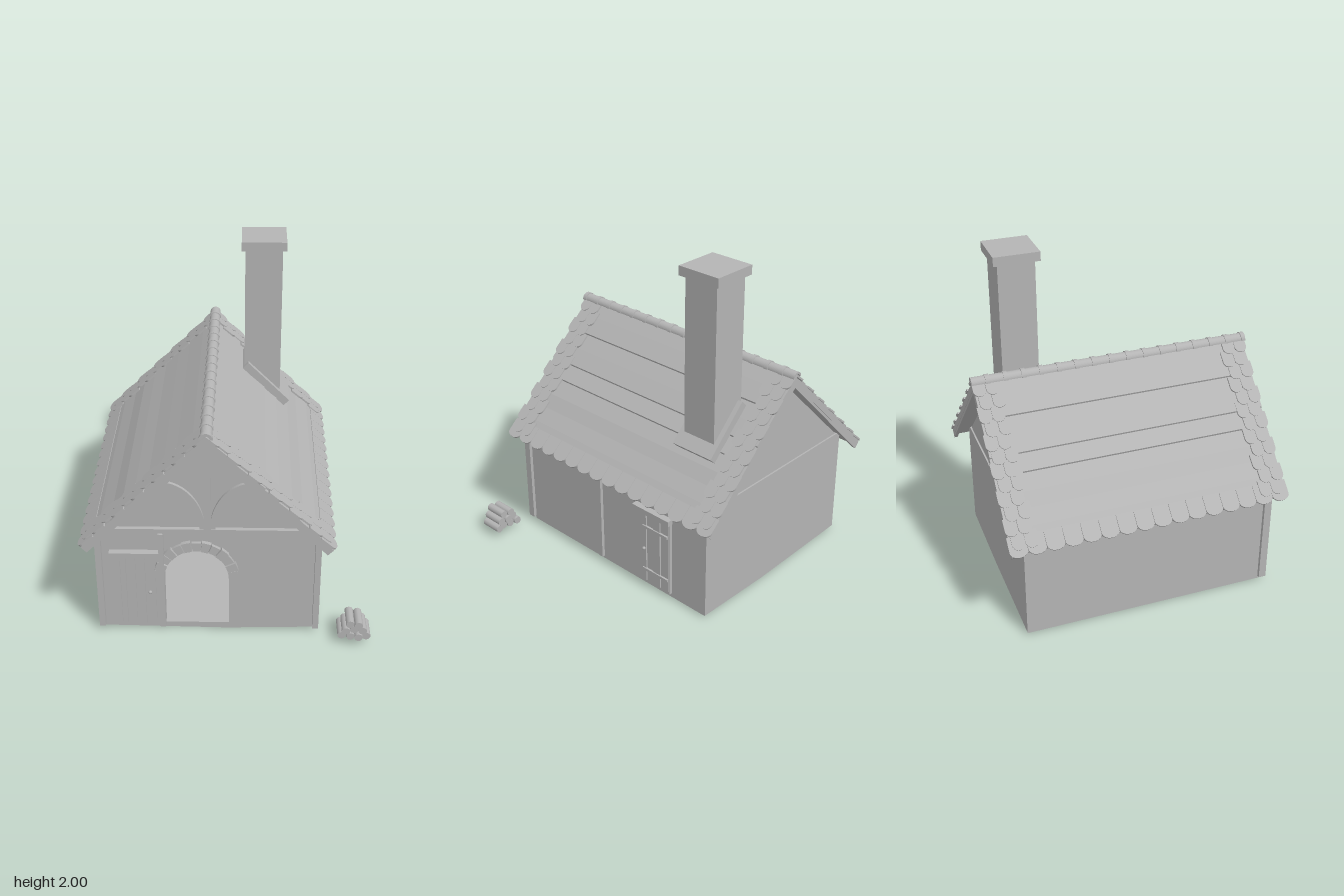
import * as THREE from 'three';

const stone = new THREE.MeshStandardMaterial({ color: 0xb4b4b4 });
stone.name = 'plain grey';

const RIDGE_X = -0.105, RIDGE_Y = 1.345, ROOF_Z = -0.025, HALF_Z = 0.84;

function add(parent, name, geo) {
  const m = new THREE.Mesh(geo, stone);
  m.name = name;
  parent.add(m);
  return m;
}

// Box given by its min and max on each axis
function box(parent, name, x0, x1, y0, y1, z0, z1) {
  const m = add(parent, name, new THREE.BoxGeometry(x1 - x0, y1 - y0, z1 - z0));
  m.position.set((x0 + x1) / 2, (y0 + y1) / 2, (z0 + z1) / 2);
  return m;
}

function poly(points) {
  return new THREE.Shape(points.map(([x, y]) => new THREE.Vector2(x, y)));
}

// Shape pushed out along z from z0 to z1
function slab(parent, name, shape, z0, z1) {
  const m = add(parent, name, new THREE.ExtrudeGeometry(shape, { depth: z1 - z0, bevelEnabled: false, curveSegments: 16 }));
  m.position.z = z0;
  return m;
}

// Curved band between two ellipses
function band(cx, cy, rx, ry, t, a0, a1) {
  const s = new THREE.Shape();
  s.absellipse(cx, cy, rx, ry, a0, a1, false, 0);
  s.absellipse(cx, cy, rx - t, ry - t, a1, a0, true, 0);
  return s;
}

// Roof tile with a round tail at s = 0, lying flat
function tileGeometry(w, len) {
  const s = new THREE.Shape();
  s.moveTo(-len, -w / 2);
  s.lineTo(-0.035, -w / 2);
  s.absellipse(-0.035, 0, 0.035, w / 2, -Math.PI / 2, Math.PI / 2, false, 0);
  s.lineTo(-len, w / 2);
  const g = new THREE.ExtrudeGeometry(s, { depth: 0.011, bevelEnabled: false, curveSegments: 6 });
  return g.rotateX(-Math.PI / 2);
}

function buildWalls(house) {
  // Front wall with arched doorway and a slightly sagging base
  const front = poly([[-0.72, 0.01], [0, 0], [0.515, 0.015], [0.515, 0.67], [RIDGE_X, 1.29], [-0.72, 0.67]]);
  const arch = new THREE.Path();
  arch.moveTo(-0.355, 0.04);
  arch.lineTo(-0.355, 0.385);
  arch.absarc(-0.17, 0.385, 0.185, Math.PI, 0, true);
  arch.lineTo(0.015, 0.04);
  arch.closePath();
  front.holes.push(arch);
  slab(house, 'frontWall', front, 0.67, 0.71);

  slab(house, 'backWall', poly([[-0.725, 0.015], [0, 0], [0.52, 0.015], [0.52, 0.71], [-0.725, 0.71]]), -0.765, -0.725);
  slab(house, 'backGable', poly([[0.5, 0.69], [RIDGE_X, 1.29], [-0.71, 0.69]]), -0.755, -0.72);
  box(house, 'leftWall', 0.48, 0.52, 0.012, 0.67, -0.76, 0.705);
  box(house, 'rightWall', -0.725, -0.685, 0.012, 0.67, -0.76, 0.705);
  box(house, 'floor', -0.69, 0.485, 0.025, 0.04, -0.73, 0.68);
}

function buildTimbers(house) {
  box(house, 'cornerPost', -0.745, -0.71, 0.03, 0.69, 0.7, 0.745);
  box(house, 'cornerPost', 0.505, 0.54, 0.03, 0.69, 0.7, 0.745);
  box(house, 'middlePost', -0.386, -0.355, 0.03, 0.69, 0.7, 0.745);
  box(house, 'sidePost', 0.51, 0.54, 0.03, 0.66, 0.058, 0.086);
  box(house, 'tieBeam', -0.71, 0.51, 0.68, 0.72, 0.7, 0.735);
  box(house, 'kingPost', -0.126, -0.084, 0.72, 1.27, 0.7, 0.74);
  // Curved braces either side of the king post
  slab(house, 'brace', band(-0.37, 0.72, 0.25, 0.31, 0.03, 0, Math.PI / 2), 0.7, 0.73);
  slab(house, 'brace', band(0.16, 0.72, 0.25, 0.31, 0.03, Math.PI / 2, Math.PI), 0.7, 0.73);
}

function buildArchStones(house) {
  const n = 13, step = (Math.PI + 0.1) / n;
  for (let i = 0; i < n; i++) {
    const a = -0.05 + i * step;
    const r = i % 2 ? 0.245 : 0.238;
    slab(house, 'archStone', band(-0.17, 0.385, r, r, r - 0.183, a + 0.012, a + step - 0.012), 0.69, i % 2 ? 0.735 : 0.73);
  }
}

// Plank door facing +z, centred on x = 0
function buildDoor(parent, name, hinges) {
  const door = new THREE.Group();
  door.name = name;
  const edges = [-0.12, -0.083, -0.05, 0.005, 0.06, 0.12];
  for (let i = 0; i < 5; i++) box(door, 'plank', edges[i] + 0.002, edges[i + 1] - 0.002, 0.045, 0.53, -0.01, 0.014 + (i % 2) * 0.005);
  box(door, 'lintel', -0.142, 0.142, 0.527, 0.56, -0.01, 0.04);
  box(door, 'jamb', 0.13, 0.138, 0.04, 0.527, -0.01, 0.02);
  if (hinges) for (const y of [0.13, 0.43]) box(door, 'hinge', -0.075, 0.12, y - 0.008, y + 0.008, 0, 0.026);
  const knob = add(door, 'knob', new THREE.SphereGeometry(0.011, 10, 8));
  knob.position.set(hinges ? -0.065 : 0.085, 0.275, 0.024);
  parent.add(door);
  return door;
}

function buildRoofSide(house, turn, name) {
  const side = new THREE.Group();
  side.name = name;
  side.position.set(RIDGE_X, RIDGE_Y, ROOF_Z);
  side.rotation.set(0, turn, -Math.PI / 4);
  house.add(side);

  // Gently rippled roof sheet
  const top = [[0, 0], [0.1, 0.008], [0.22, 0.014], [0.225, 0.003], [0.33, 0.009], [0.44, 0.014], [0.445, 0.003], [0.55, 0.014],
    [0.555, 0.002], [0.66, 0.008], [0.75, 0.003], [0.85, 0.008], [0.985, 0.004]];
  slab(side, 'roofSheet', poly([[0, -0.03], [0.985, -0.03], ...top.reverse()]), -HALF_Z + 0.01, HALF_Z - 0.01);

  const wide = tileGeometry(0.103, 0.12), small = tileGeometry(0.074, 0.1);
  const place = (geo, s, z, lift) => {
    const t = add(side, 'roofTile', geo);
    t.position.set(s, 0.008 + lift, z);
    t.rotation.z = 0.07;
  };
  // Row along the eaves
  for (let i = 0; i < 16; i++) place(wide, 1.01, -HALF_Z + 0.0525 + i * 0.105, 0);
  // Staggered bands along both gable edges
  for (let r = 0; r < 12; r++) {
    for (const e of [-1, 1]) {
      const shift = r % 2 ? 0.022 : 0;
      for (let c = 0; c < 2; c++) place(small, 0.09 + r * 0.08, e * (HALF_Z - 0.038 - shift - c * 0.076), 0.003);
    }
  }
  // Bargeboards under the gable edges
  for (const e of [-1, 1]) {
    const z = e * (HALF_Z - 0.022);
    box(side, 'bargeboard', 0, 1.0, -0.047, -0.002, z - 0.01, z + 0.01);
  }
}

function buildRidge(house) {
  const body = band(RIDGE_X, 1.347, 0.033, 0.033, 0.012, 0, Math.PI);
  const collar = band(RIDGE_X, 1.347, 0.038, 0.038, 0.014, 0, Math.PI);
  for (let i = 0; i < 16; i++) {
    const z = ROOF_Z - HALF_Z + i * 0.105;
    slab(house, 'ridgeTile', body, z, z + 0.105);
    slab(house, 'ridgeCollar', collar, z + 0.08, z + 0.105);
  }
}

function buildChimney(house) {
  box(house, 'chimney', 0.09, 0.315, 0.9, 1.96, -0.63, -0.41);
  box(house, 'chimneyCap', 0.068, 0.338, 1.945, 2.0, -0.657, -0.383);
  const flashing = add(house, 'chimneyFlashing', new THREE.BoxGeometry(0.37, 0.05, 0.28));
  flashing.position.set(0.228, 1.06, -0.52);
  flashing.rotation.z = -Math.PI / 4;
}

function buildLogs(house) {
  const logs = new THREE.Group();
  logs.name = 'logPile';
  [[0.67, 0.72, 0.766, 0.812], [0.692, 0.74, 0.789], [0.716, 0.764]].forEach((row, j) => row.forEach((x, i) => {
    const log = add(logs, 'log', new THREE.CylinderGeometry(0.0245, 0.0245, 0.135, 10));
    log.rotation.x = Math.PI / 2;
    log.position.set(x, 0.065 + j * 0.041, 0.785 + (((i * 2 + j * 3) % 5) - 2) * 0.005);
  }));
  house.add(logs);
}

export function createModel() {
  const house = new THREE.Group();
  house.name = 'cottage';
  buildWalls(house);
  buildTimbers(house);
  buildArchStones(house);
  buildDoor(house, 'frontDoor', false).position.set(-0.525, 0, 0.71);
  const sideDoor = buildDoor(house, 'sideDoor', true);
  sideDoor.position.set(0.52, 0, -0.37);
  sideDoor.rotation.y = Math.PI / 2;
  buildRoofSide(house, 0, 'roofLeft');
  buildRoofSide(house, Math.PI, 'roofRight');
  buildRidge(house);
  buildChimney(house);
  buildLogs(house);
  return house;
}
